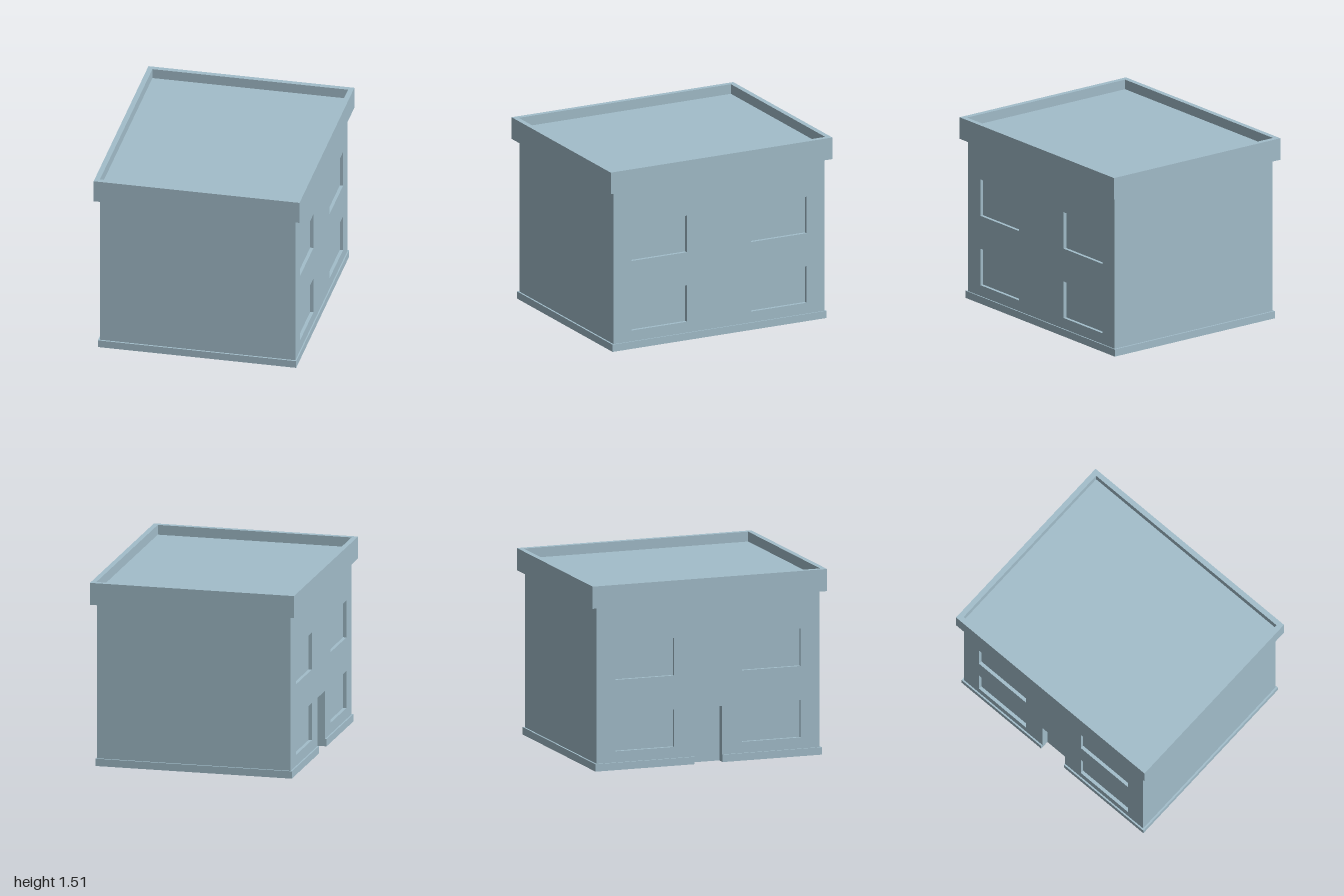
import * as THREE from 'three';
import { mergeGeometries } from 'three/addons/utils/BufferGeometryUtils.js';

// Flat four-cornered face
function quad(a, b, c, d) {
  const g = new THREE.BufferGeometry();
  g.setAttribute('position', new THREE.Float32BufferAttribute([a, b, c, a, c, d].flat(), 3));
  g.computeVertexNormals();
  return g;
}

// Vertical or horizontal rectangle path moved from one place to another
const upright = (x0, z0, x1, z1, y0, y1) => quad([x0, y0, z0], [x1, y0, z1], [x1, y1, z1], [x0, y1, z0]);

function rectPath(target, u0, v0, u1, v1) {
  target.moveTo(u0, v0);
  target.lineTo(u1, v0);
  target.lineTo(u1, v1);
  target.lineTo(u0, v1);
  target.closePath();
  return target;
}

// Niche pushed inward from a side wall: pane, jambs, head and optional sill
function recess(xOut, xIn, y0, y1, z0, z1, sill) {
  const parts = [
    upright(xIn, z0, xIn, z1, y0, y1),
    upright(xOut, z0, xIn, z0, y0, y1),
    upright(xOut, z1, xIn, z1, y0, y1),
  ];
  for (const y of sill ? [y0, y1] : [y1])
    parts.push(quad([xOut, y, z0], [xOut, y, z1], [xIn, y, z1], [xIn, y, z0]));
  return mergeGeometries(parts);
}

export function createModel() {
  const model = new THREE.Group();
  const paint = new THREE.MeshStandardMaterial({ color: 0xa2bdca, side: THREE.DoubleSide });
  paint.name = 'paleBlue';
  const add = (name, geometry, parent = model) => {
    const mesh = new THREE.Mesh(geometry, paint);
    mesh.name = name;
    parent.add(mesh);
    return mesh;
  };

  const XR = -0.8, XL = 0.795, Z = 0.95;       // wall planes
  const BASE = 0.06, EAVES = 1.33, ROOF = 1.43, TOP = 1.51;
  const DOOR = 0.12, DOOR_TOP = 0.455;
  const rows = [[0.15, 0.455], [0.73, 1.035]];
  const columns = [[-0.79, -0.29], [0.29, 0.79]];

  // Plain front and back walls
  add('frontWall', upright(XR, Z, XL, Z, BASE, EAVES));
  add('backWall', upright(XR, -Z, XL, -Z, BASE, EAVES));

  // Side walls with window openings; the right one also has the doorway
  for (const [side, x, inward] of [['right', XR, 1], ['left', XL, -1]]) {
    const shape = new THREE.Shape();
    shape.moveTo(-Z, BASE);
    if (side === 'right') {
      shape.lineTo(-DOOR, BASE);
      shape.lineTo(-DOOR, DOOR_TOP);
      shape.lineTo(DOOR, DOOR_TOP);
      shape.lineTo(DOOR, BASE);
    }
    shape.lineTo(Z, BASE);
    shape.lineTo(Z, EAVES);
    shape.lineTo(-Z, EAVES);
    shape.closePath();
    const windows = new THREE.Group();
    windows.name = side + 'Windows';
    for (const [y0, y1] of rows) for (const [z0, z1] of columns) {
      shape.holes.push(rectPath(new THREE.Path(), z0, y0, z1, y1));
      add('window', recess(x, x + inward * 0.027, y0, y1, z0, z1, true), windows);
    }
    // shape u runs along z (the layout is symmetric)
    add(side + 'Wall', new THREE.ShapeGeometry(shape).rotateY(side === 'right' ? -Math.PI / 2 : Math.PI / 2).translate(x, 0, 0));
    model.add(windows);
  }

  // Recessed door
  add('door', recess(XR, XR + 0.062, 0, DOOR_TOP, -DOOR, DOOR, false));

  // Plinth: outer band and top ledge, running round from one door jamb to the other
  const PR = -0.813, PL = 0.805, PZ = 0.965;
  const outer = [[PR, DOOR], [PR, PZ], [PL, PZ], [PL, -PZ], [PR, -PZ], [PR, -DOOR]];
  const inner = [[XR, DOOR], [XR, Z], [XL, Z], [XL, -Z], [XR, -Z], [XR, -DOOR]];
  const plinth = [];
  for (let i = 0; i < 5; i++) {
    const [a, b, c, d] = [outer[i], outer[i + 1], inner[i + 1], inner[i]];
    plinth.push(upright(...a, ...b, 0, BASE));
    plinth.push(quad(...[a, b, c, d].map(([x, z]) => [x, BASE, z])));
  }
  for (const z of [-DOOR, DOOR]) plinth.push(upright(PR, z, XR, z, 0, BASE));
  add('plinth', mergeGeometries(plinth));

  // Parapet ring around the flat roof
  const ring = rectPath(new THREE.Shape(), -0.84, -1, 0.84, 1);
  ring.holes.push(rectPath(new THREE.Path(), -0.798, -0.957, 0.798, 0.957));
  add('parapet', new THREE.ExtrudeGeometry(ring, { depth: TOP - EAVES, bevelEnabled: false })
    .rotateX(-Math.PI / 2).translate(0, EAVES, 0));

  // Roof slab
  add('roof', new THREE.BoxGeometry(1.596, ROOF - EAVES, 1.914).translate(0, (ROOF + EAVES) / 2, 0));

  return model;
}
